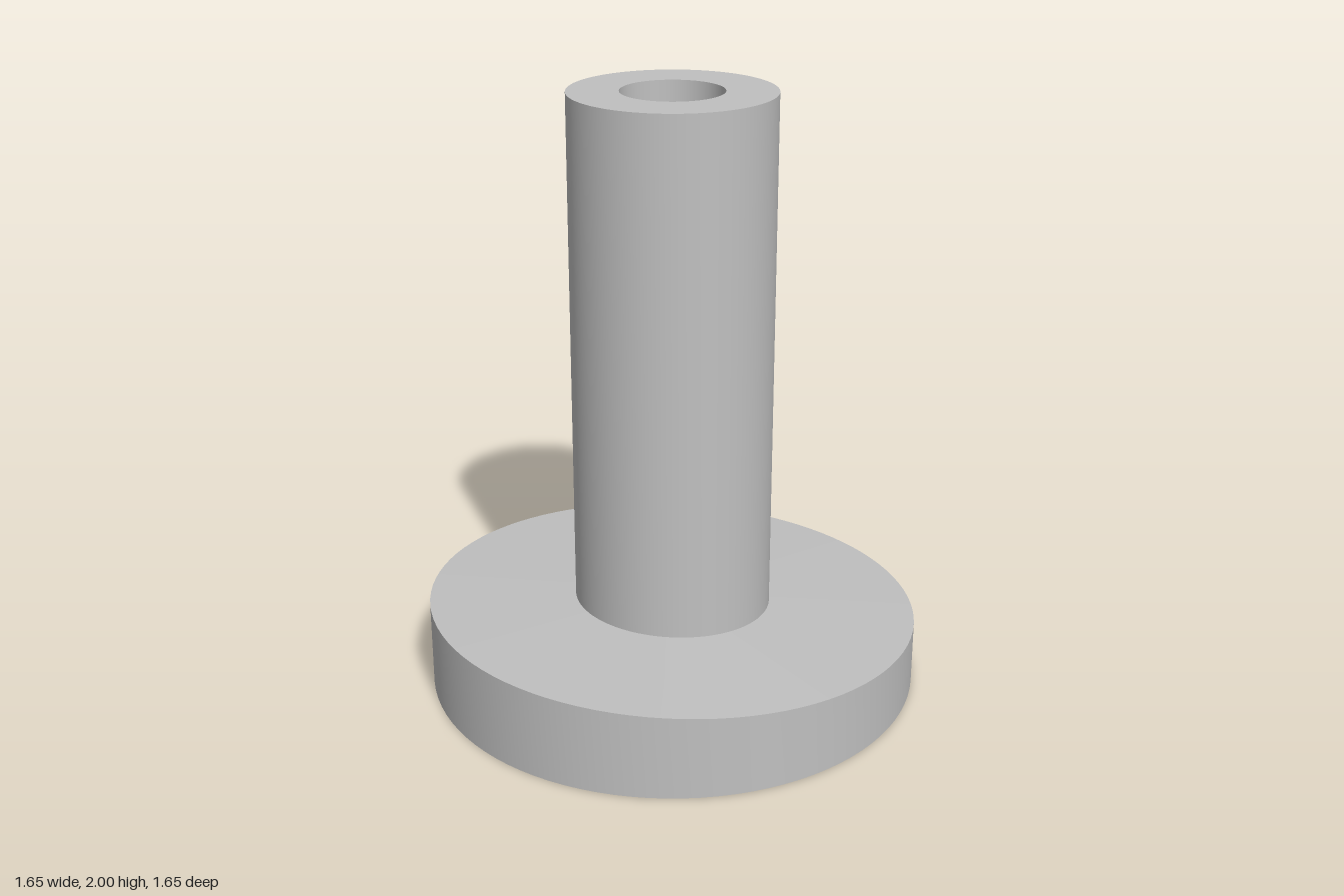
import * as THREE from 'three';
import { toCreasedNormals } from 'three/addons/utils/BufferGeometryUtils.js';

const BORE = 0.165, TUBE = 0.33, RIM = 0.823;
const RIM_Y = 0.25, SEAT_Y = 0.267, SLOPE = 0.0606;

// Revolve a profile, then tilt the rings that belong to the sloping flange top
function turned(name, profile, material) {
  const geometry = new THREE.LatheGeometry(profile.map(([r, y]) => new THREE.Vector2(r, y)), 96);
  const pos = geometry.attributes.position;
  for (let i = 0; i < pos.count; i++) {
    const y = pos.getY(i);
    if (y > 0.1 && y < 0.5) pos.setY(i, y + SLOPE * pos.getZ(i));
  }
  const mesh = new THREE.Mesh(toCreasedNormals(geometry, 0.6), material);
  mesh.name = name;
  return mesh;
}

export function createModel() {
  const group = new THREE.Group();
  group.name = 'flangedTube';
  const grey = new THREE.MeshStandardMaterial({ color: 0xc0c0c0 });
  grey.name = 'light grey';

  // Round base: underside, rim and shallow, tilted conical top
  group.add(turned('baseFlange', [[BORE, 0], [RIM, 0], [RIM, RIM_Y], [TUBE, SEAT_Y]], grey));
  // Hollow stem: outer wall, end ring and through bore
  group.add(turned('hollowStem', [[TUBE, SEAT_Y], [TUBE, 2], [BORE, 2], [BORE, 0]], grey));
  return group;
}
